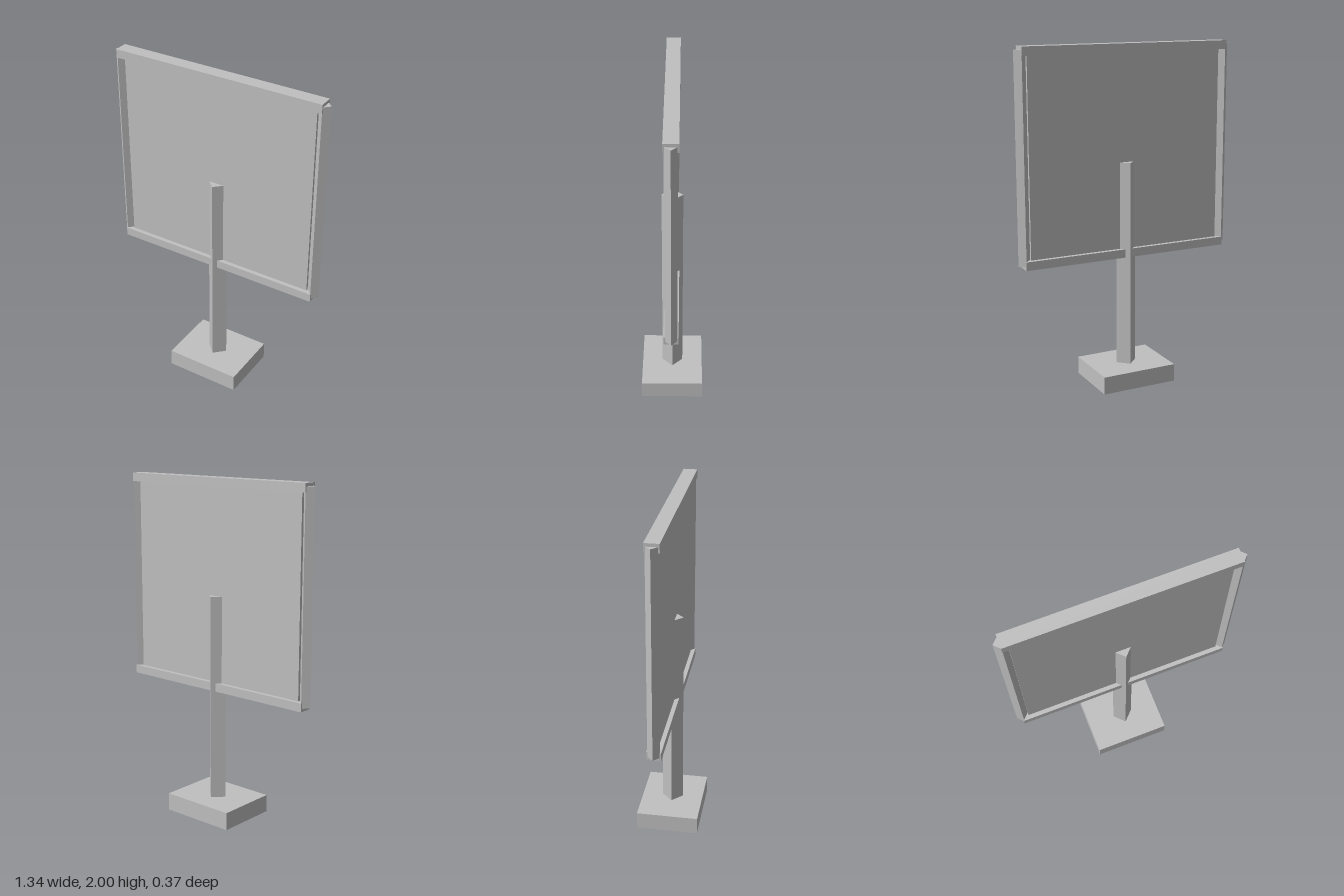
import * as THREE from 'three';

export function createModel() {
  const model = new THREE.Group();
  model.name = 'signBoard';
  const grey = new THREE.MeshStandardMaterial({ name: 'light grey', color: 0xc0c0c0, flatShading: true });

  const add = (name, geometry, x, y) => {
    const mesh = new THREE.Mesh(geometry, grey);
    mesh.name = name;
    mesh.position.set(x, y, 0);
    model.add(mesh);
  };
  const box = (name, w, h, d, y) => add(name, new THREE.BoxGeometry(w, h, d), 0, y);
  // four-sided bar standing with its corners to the front and sides
  const bar = (name, r, y0, y1, x) =>
    add(name, new THREE.CylinderGeometry(r, r, y1 - y0, 4), x, (y0 + y1) / 2);

  // foot and post
  box('base', 0.462, 0.105, 0.37, 0.0525);
  bar('post', 0.062, 0.1, 1.325, 0);

  // board with its frame
  box('panel', 1.204, 1.2, 0.032, 1.382);
  box('topRail', 1.28, 0.05, 0.082, 1.975);
  box('bottomRail', 1.28, 0.05, 0.082, 0.788);
  bar('leftRail', 0.035, 0.782, 1.982, 0.637);
  bar('rightRail', 0.035, 0.782, 1.982, -0.637);

  return model;
}
